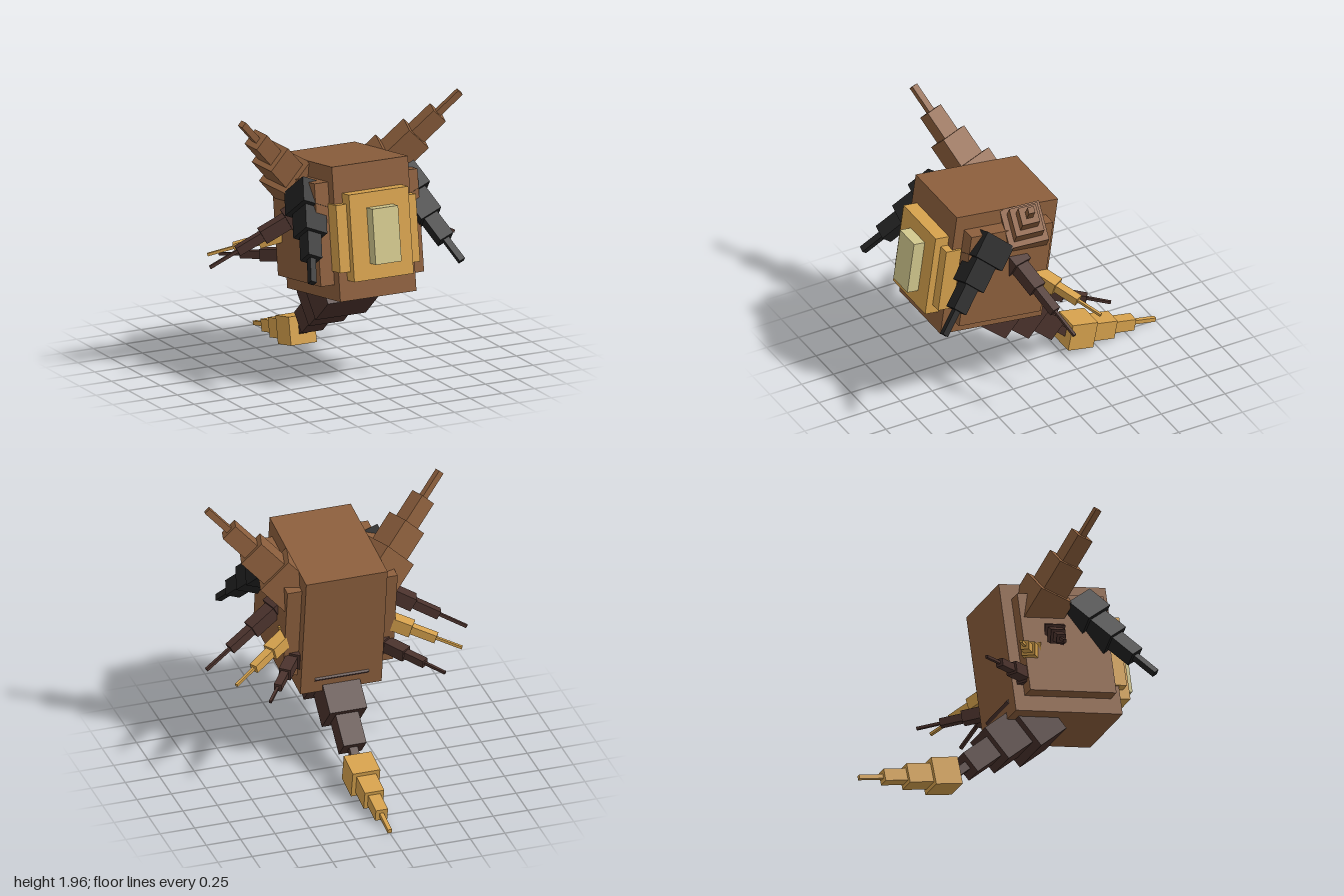
import * as THREE from 'three';

const mat = (name, color) => {
  const m = new THREE.MeshStandardMaterial({ color });
  m.name = name;
  return m;
};

export function createModel() {
  const brown = mat('brown', 0x8b5e3c);
  const gold = mat('gold', 0xd4a04c);
  const cream = mat('cream', 0xd0c68c);
  const dark = mat('darkBrown', 0x4a322c);
  const black = mat('black', 0x212121);
  const model = new THREE.Group();
  model.name = 'blockyInsect';

  const box = (parent, name, material, size, pos) => {
    const mesh = new THREE.Mesh(new THREE.BoxGeometry(...size), material);
    mesh.name = name;
    mesh.position.set(...pos);
    parent.add(mesh);
    return mesh;
  };

  // Trunk, pitched slightly upward
  const pitch = 0.137;
  const trunk = new THREE.Group();
  trunk.name = 'trunk';
  trunk.position.set(0, 1.1125, 0.386);
  trunk.rotation.x = -pitch;
  model.add(trunk);
  box(trunk, 'body', brown, [0.59, 0.944, 0.8], [0, 0, 0]);
  box(trunk, 'sidePanels', brown, [0.8, 0.72, 0.646], [0, 0, 0.003]);
  box(trunk, 'facePlate', gold, [0.46, 0.61, 0.155], [0, -0.024, 0.4275]);
  box(trunk, 'faceSides', gold, [0.62, 0.473, 0.12], [0, -0.025, 0.395]);
  box(trunk, 'snout', cream, [0.2, 0.39, 0.1], [0, -0.02, 0.54]);

  // Limb of stepped square segments, ending at tip and squared to the trunk
  const forward = new THREE.Vector3(0, Math.sin(pitch), Math.cos(pitch));
  const limb = (name, material, tip, direction, lengths, widths) => {
    const y = new THREE.Vector3(...direction).normalize();
    const z = forward.clone().addScaledVector(y, -forward.dot(y)).normalize();
    const x = new THREE.Vector3().crossVectors(y, z);
    const group = new THREE.Group();
    group.name = name;
    group.quaternion.setFromRotationMatrix(new THREE.Matrix4().makeBasis(x, y, z));
    group.position.set(...tip);
    let at = -lengths.reduce((a, b) => a + b, 0);
    lengths.forEach((len, i) => {
      box(group, `${name}Segment${i + 1}`, material, [widths[i], len, widths[i]], [0, at + len / 2, 0]);
      at += len;
    });
    model.add(group);
  };

  // Tail and stinger
  limb('tail', dark, [0, 0.152, -0.302], [0, -0.66, -0.75],
    [0.25, 0.235, 0.232, 0.14], [0.39, 0.27, 0.165, 0.06]);
  limb('stinger', gold, [0, 0.021, -0.996], [0, -0.192, -0.98],
    [0.2, 0.18, 0.168, 0.18], [0.2, 0.14, 0.088, 0.03]);

  // Paired limbs
  for (const s of [1, -1]) {
    const side = s > 0 ? 'left' : 'right';
    const pair = (name, material, tip, dir, lengths, widths) =>
      limb(side + name, material, [s * tip[0], tip[1], tip[2]], [s * dir[0], dir[1], dir[2]], lengths, widths);
    pair('Wing', brown, [0.845, 1.945, 0.435], [0.95, 1, 0.4],
      [0.28, 0.22, 0.21, 0.21], [0.28, 0.2, 0.125, 0.045]);
    pair('Claw', black, [0.58, 0.91, 0.975], [0.46, -1, 1],
      [0.19, 0.19, 0.19, 0.19], [0.24, 0.17, 0.11, 0.045]);
    pair('FrontLeg', dark, [0.945, 0.853, 0.15], [0.545, -0.31, -0.145],
      [0.2, 0.2, 0.2, 0.22], [0.14, 0.1, 0.063, 0.022]);
    pair('MiddleLeg', gold, [0.82, 0.855, -0.125], [0.42, -0.15, -0.245],
      [0.18, 0.18, 0.18, 0.19], [0.13, 0.095, 0.06, 0.02]);
    pair('BackLeg', dark, [0.635, 0.787, -0.305], [0.235, -0.05, -0.32],
      [0.16, 0.16, 0.16, 0.17], [0.12, 0.085, 0.055, 0.02]);
  }
  return model;
}
